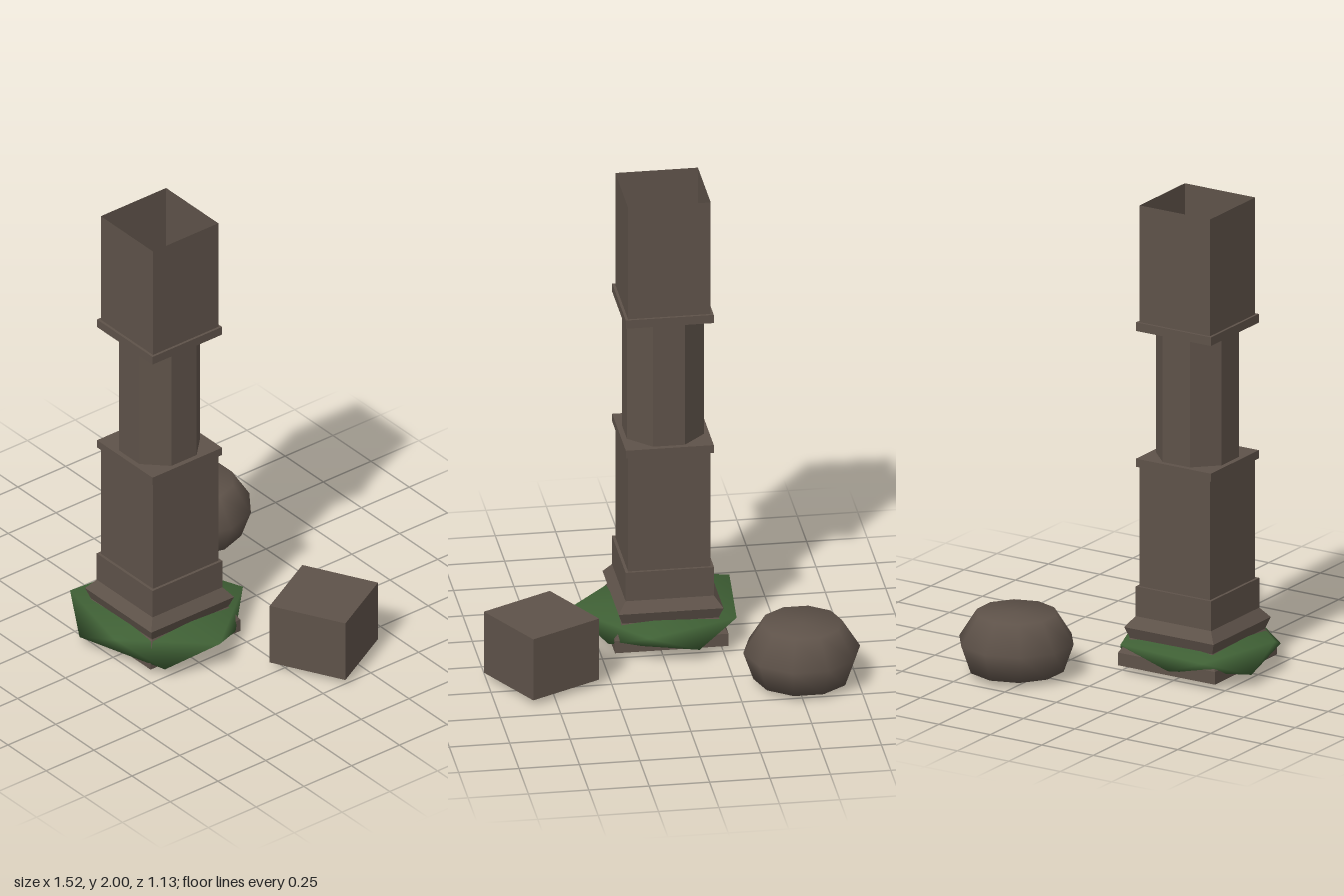
import * as THREE from 'three';

const stone = new THREE.MeshStandardMaterial({ color: 0x5e5249, side: THREE.DoubleSide });
stone.name = 'weathered stone';
const leaf = new THREE.MeshStandardMaterial({ color: 0x3f6035 });
leaf.name = 'moss green';

const CX = -0.036, CZ = 0.228;

function add(parent, name, geometry, material, x = 0, y = 0, z = 0) {
  const mesh = new THREE.Mesh(geometry, material);
  mesh.name = name;
  mesh.position.set(x, y, z);
  parent.add(mesh);
  return mesh;
}

// Flat-sided prism or frustum; half sizes are measured to the face middles
function prism(sides, y0, y1, half0, half1 = half0, open = false) {
  const k = 1 / Math.cos(Math.PI / sides);
  const g = new THREE.CylinderGeometry(half1 * k, half0 * k, y1 - y0, sides, 1, open);
  g.rotateY(Math.PI / sides);
  g.translate(0, (y0 + y1) / 2, 0);
  const flat = g.toNonIndexed();
  flat.computeVertexNormals();
  return flat;
}

// Flattened shrub: two staggered five-point rings between two poles
function shrubGeometry() {
  const upper = [[0.355, 0.225], [0.065, 0.54], [-0.345, 0.45], [-0.31, 0.03], [0.075, -0.12]];
  const lower = [[0.265, 0.44], [-0.145, 0.56], [-0.29, 0.25], [-0.14, -0.08], [0.22, 0.035]];
  const points = [CX, 0.165, CZ];
  upper.forEach(([x, z]) => points.push(x, 0.132, z));
  lower.forEach(([x, z]) => points.push(x, 0.05, z));
  points.push(CX, 0, CZ);
  const index = [];
  for (let i = 0; i < 5; i++) {
    const j = (i + 1) % 5;
    const a = 1 + i, b = 1 + j, c = 6 + i, d = 6 + j;
    index.push(0, b, a, a, b, c, b, d, c, c, d, 11);
  }
  const g = new THREE.BufferGeometry();
  g.setAttribute('position', new THREE.Float32BufferAttribute(points, 3));
  g.setIndex(index);
  g.computeVertexNormals();
  return g;
}

export function createModel() {
  const model = new THREE.Group();
  model.name = 'ruinedColumn';

  // Column, from the ground up
  const column = new THREE.Group();
  column.name = 'column';
  column.position.set(CX, 0, CZ);
  model.add(column);
  const parts = [
    ['baseSlab', 4, 0.025, 0.08, 0.235],
    ['baseTaper', 4, 0.08, 0.14, 0.235, 0.2],
    ['baseMoulding', 4, 0.14, 0.188, 0.2, 0.217],
    ['baseSlope', 4, 0.188, 0.232, 0.217, 0.183],
    ['plinth', 4, 0.232, 0.36, 0.183],
    ['lowerShaft', 4, 0.36, 0.875, 0.171],
    ['lowerCollar', 4, 0.875, 0.91, 0.182],
    ['octagonalShaft', 8, 0.91, 1.46, 0.16],
    ['upperCollar', 4, 1.46, 1.497, 0.182],
    ['openTop', 4, 1.497, 2, 0.171, 0.171, true],
  ];
  for (const [name, ...dims] of parts) add(column, name, prism(...dims), stone);

  add(model, 'shrub', shrubGeometry(), leaf);

  // Rounded boulder, ten-sided
  const profile = [[0, 0.025], [0.2, 0.025], [0.242, 0.145], [0.167, 0.265], [0, 0.265]]
    .map(([r, y]) => new THREE.Vector2(r, y));
  add(model, 'boulder', new THREE.LatheGeometry(profile, 10, Math.PI / 2), stone, -0.522, 0, -0.34);

  // Fallen square block
  const block = add(model, 'fallenBlock', new THREE.BoxGeometry(0.337, 0.275, 0.337), stone, 0.53, 0.1625, -0.18);
  block.rotation.y = 0.49;

  return model;
}
